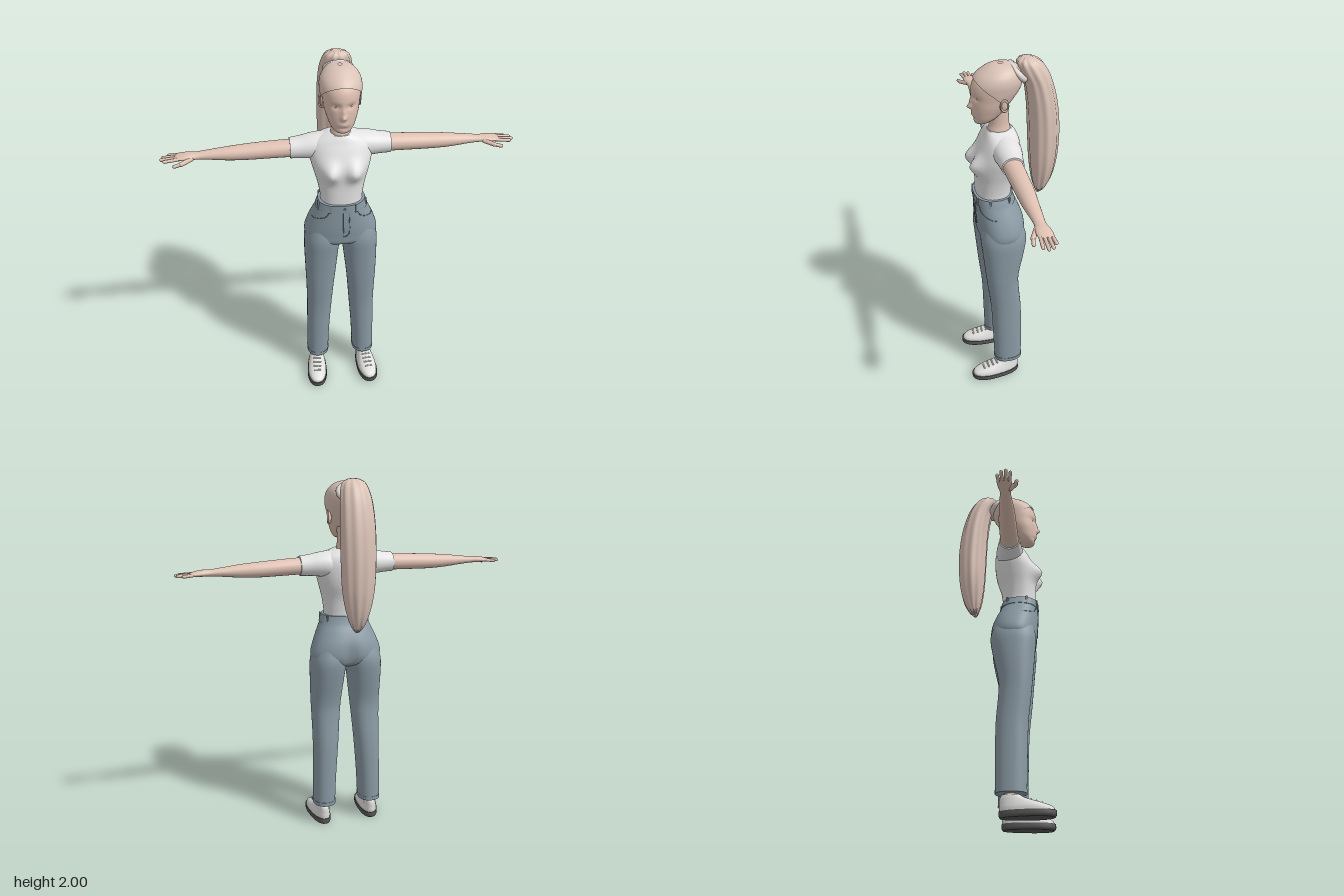
import * as THREE from 'three';

const paint = (name, color, side = THREE.FrontSide) => {
  const m = new THREE.MeshStandardMaterial({ color, side });
  m.name = name;
  return m;
};
const { sin, cos, abs, sign, exp, PI } = Math;
const bump = (d, width) => exp(-((d / width) ** 2));
const spow = (v, e) => sign(v) * abs(v) ** e;

// Smooth interpolation between cross-section rows [along, a0, a1, b0, b1]
function sample(keys, u) {
  const n = keys.length - 1, i = Math.min(Math.floor(u), n - 1), f = u - i;
  const row = k => keys[Math.max(0, Math.min(n, k))];
  return keys[0].map((_, c) => {
    const [p, q, r, s] = [row(i - 1)[c], row(i)[c], row(i + 1)[c], row(i + 2)[c]];
    return q + 0.5 * f * (r - p + f * (2 * p - 5 * q + 4 * r - s + f * (3 * (q - r) + s - p)));
  });
}

// Point on a body; along y: a = x, b = z; along x: a = z, b = y
function pointOn(keys, u, t, e = 1, axis = 'y') {
  const [v, a0, a1, b0, b1] = sample(keys, u);
  const a = (a0 + a1) / 2 + (a1 - a0) / 2 * spow(cos(t), e);
  const b = (b0 + b1) / 2 + (b1 - b0) / 2 * spow(sin(t), e);
  return axis === 'y' ? new THREE.Vector3(a, v, b) : new THREE.Vector3(v, b, a);
}

// Skin the cross-sections, with flat end caps
function loft(keys, { axis = 'y', seg = 32, sub = 4, e = 1, warp, start = () => 0, caps = true } = {}) {
  const rows = (keys.length - 1) * sub, pos = [], idx = [];
  for (let i = 0; i <= rows; i++) for (let j = 0; j < seg; j++) {
    const t = j / seg * 2 * PI, s = start(t);
    const p = pointOn(keys, s + (keys.length - 1 - s) * i / rows, t, e, axis);
    if (warp) warp(p, t);
    pos.push(p.x, p.y, p.z);
  }
  for (let i = 0; i < rows; i++) for (let j = 0; j < seg; j++) {
    const a = i * seg + j, b = i * seg + (j + 1) % seg, c = a + seg, d = b + seg;
    idx.push(a, c, b, b, c, d);
  }
  if (caps) for (const i of [0, rows]) {
    const base = pos.length / 3, mid = [0, 0, 0];
    for (let j = 0; j < seg; j++) for (let k = 0; k < 3; k++) {
      const v = pos[(i * seg + j) * 3 + k];
      pos.push(v);
      mid[k] += v / seg;
    }
    pos.push(...mid);
    for (let j = 0; j < seg; j++) {
      const a = base + j, b = base + (j + 1) % seg;
      idx.push(base + seg, ...(i ? [b, a] : [a, b]));
    }
  }
  const g = new THREE.BufferGeometry();
  g.setAttribute('position', new THREE.Float32BufferAttribute(pos, 3));
  g.setIndex(idx);
  g.computeVertexNormals();
  return g;
}
const wide = rows => rows.map(([y, w, b0, b1]) => [y, -w, w, b0, b1]);

export function createModel() {
  const skin = paint('skin', 0xdfc1b2), hair = paint('hair', 0xdac2b6, THREE.DoubleSide);
  const shirt = paint('shirt', 0xe3e3e3), denim = paint('denim', 0x8a9aa4);
  const seamDenim = paint('seam denim', 0x6f7e88), shoeWhite = paint('shoe white', 0xdfdfdd);
  const soleDark = paint('sole dark', 0x585656), tie = paint('hair tie', 0xdcd3ce);
  const model = new THREE.Group();
  const add = (parent, name, geo, mat, p = [0, 0, 0], s = [1, 1, 1]) => {
    const m = new THREE.Mesh(geo, mat);
    m.name = name;
    m.position.set(...p);
    m.scale.set(...s);
    parent.add(m);
    return m;
  };
  const rod = (parent, name, a, b, r, mat) => {
    const A = new THREE.Vector3(...a), d = new THREE.Vector3(...b).sub(A);
    const m = add(parent, name, new THREE.CapsuleGeometry(r, d.length(), 5, 10), mat);
    m.position.copy(A).addScaledVector(d, 0.5);
    m.quaternion.setFromUnitVectors(new THREE.Vector3(0, 1, 0), d.normalize());
  };
  const ball = new THREE.SphereGeometry(1, 20, 14);

  // Head, with the face pushed out and in from the front
  const headKeys = wide([[1.665, .02, .13, .165], [1.675, .04, .1, .178], [1.7, .06, .06, .185],
    [1.735, .074, .025, .19], [1.77, .085, 0, .19], [1.81, .092, -.03, .19], [1.85, .098, -.055, .192],
    [1.89, .1, -.065, .183], [1.925, .09, -.06, .158], [1.955, .065, -.04, .115],
    [1.97, .035, -.01, .08], [1.975, .003, .035, .045]]);
  const face = (p, t) => {
    if (sin(t) < 0.3) return;
    const x = abs(p.x), y = p.y;
    p.z += .022 * bump(x, .013) * bump(y - 1.762, .014) + .012 * bump(x, .011) * bump(y - 1.79, .026)
      - .011 * bump(x - .036, .02) * bump(y - 1.817, .014) + .006 * bump(x, .022) * bump(y - 1.722, .012)
      - .005 * bump(x, .03) * bump(y - 1.7, .008);
  };
  add(model, 'head', loft(headKeys, { seg: 64, sub: 6, warp: face }), skin);
  add(model, 'neck', loft(wide([[1.56, .06, -.01, .115], [1.62, .052, -.008, .11], [1.66, .046, -.002, .1],
    [1.74, .048, 0, .1]])), skin);

  // Hair cap from the hairline up, the ponytail and its tie
  const hairKeys = headKeys.map(([y, a, b, c, d]) => [y + .005, a - .007, b + .007, c - .007, d + .007]);
  const hairline = t => sin(t) < -.1 ? 4 + (sin(t) + 1) / .9 : 5 + (sin(t) + .1) / 1.1 * 2.5;
  add(model, 'hairCap', loft(hairKeys, { seg: 64, sub: 3, start: hairline, caps: false }), hair);
  const strands = (p, t) => {
    p.x += .003 * cos(10 * t) * cos(t);
    p.z += .003 * cos(10 * t) * sin(t);
  };
  add(model, 'ponytail', loft(wide([[1.195, .006, -.17, -.16], [1.225, .03, -.2, -.148], [1.28, .053, -.23, -.132],
    [1.36, .075, -.252, -.12], [1.46, .089, -.265, -.112], [1.6, .094, -.268, -.106], [1.75, .094, -.252, -.098],
    [1.87, .087, -.222, -.08], [1.94, .076, -.19, -.05], [1.98, .058, -.155, -.045], [1.998, .025, -.115, -.07]]),
  { seg: 60, warp: strands }), hair);
  add(model, 'hairTie', new THREE.TorusGeometry(.05, .017, 12, 32), tie, [0, 1.925, -.045], [1.2, 1, 1]).rotation.x = .71;

  // Shirt body
  const bust = (p, t) => {
    if (sin(t) > 0) p.z += .05 * sin(t) * bump(abs(p.x) - .068, .045) * bump(p.y - 1.442, .048);
  };
  add(model, 'shirtBody', loft(wide([[1.235, .112, -.005, .183], [1.28, .114, -.008, .183], [1.35, .126, -.018, .183],
    [1.42, .145, -.04, .185], [1.48, .16, -.05, .178], [1.54, .165, -.053, .155], [1.58, .15, -.045, .135],
    [1.605, .11, -.03, .123], [1.622, .062, -.012, .113]]), { seg: 56, sub: 5, e: .88, warp: bust }), shirt);

  // Jeans seat, waistband and front details
  const hipKeys = wide([[.955, .06, 0, .1], [.975, .15, -.045, .15], [1, .19, -.065, .178], [1.04, .2, -.075, .184],
    [1.1, .183, -.068, .19], [1.16, .158, -.045, .192], [1.205, .138, -.022, .192], [1.25, .122, -.01, .192]]);
  const cleft = (p, t) => {
    if (sin(t) < 0) p.z += .02 * bump(p.x, .028) * bump(p.y - 1.02, .07);
  };
  add(model, 'jeansSeat', loft(hipKeys, { seg: 56, e: .85, warp: cleft }), denim);
  const bandKeys = wide([[1.208, .141, -.026, .196], [1.23, .134, -.019, .196], [1.252, .126, -.014, .196]]);
  add(model, 'waistband', loft(bandKeys, { seg: 56, e: .85 }), denim);
  for (const t of [.35, 1.1, PI - 1.1, PI - .35, PI + .6, PI * 1.5, -.6]) {
    const p = pointOn(bandKeys, 1, t, .85);
    add(model, 'beltLoop', new THREE.BoxGeometry(.012, .048, .008), denim, p.toArray()).rotation.y = PI / 2 - t;
  }
  const seam = (name, uv) => add(model, name, new THREE.TubeGeometry(new THREE.CatmullRomCurve3(
    uv.map(([u, t]) => pointOn(hipKeys, u, t, .85))), 20, .0022, 6), seamDenim);
  seam('flyStitch', [[6, 1.4], [5, 1.42], [4, 1.43], [3.4, 1.47], [3.1, 1.57]]);
  seam('flySeam', [[6, PI / 2], [4.5, PI / 2], [3.1, PI / 2]]);
  for (const f of [t => t, t => PI - t])
    seam('pocketEdge', [[6, 1.05], [5.4, .98], [5, .75], [4.8, .45], [4.75, .2]].map(([u, t]) => [u, f(t)]));
  add(model, 'button', new THREE.CylinderGeometry(.008, .008, .006, 16), seamDenim, [.008, 1.23, .197]).rotation.x = PI / 2;

  // One side of the body, mirrored for the other
  const half = new THREE.Group();
  half.name = 'leftSide';
  add(half, 'ear', ball, skin, [.091, 1.788, .045], [.011, .036, .022]).rotation.y = -.3;
  add(half, 'earRim', new THREE.TorusGeometry(.022, .005, 8, 20), skin, [.1, 1.793, .044], [.85, 1.35, 1]).rotation.y = PI / 2 - .3;
  add(half, 'eyelid', ball, skin, [.036, 1.815, .165], [.016, .007, .008]).rotation.y = .3;
  add(half, 'sleeve', loft([[.05, -.03, .11, 1.46, 1.618], [.11, -.04, .115, 1.468, 1.612], [.16, -.035, .11, 1.475, 1.605],
    [.21, -.025, .104, 1.48, 1.595], [.262, -.017, .1, 1.482, 1.589]], { axis: 'x' }), shirt);
  add(half, 'arm', loft([[.24, -.01, .094, 1.49, 1.581], [.35, -.01, .09, 1.488, 1.576], [.48, -.008, .085, 1.486, 1.568],
    [.58, 0, .08, 1.49, 1.56], [.68, .008, .07, 1.5, 1.548], [.74, .012, .068, 1.505, 1.541],
    [.785, .003, .077, 1.506, 1.54], [.825, 0, .075, 1.508, 1.533], [.845, .006, .068, 1.511, 1.527]],
  { axis: 'x' }), skin);
  [[.064, .9, .072], [.046, .916, .05], [.028, .908, .027], [.011, .88, .006]].forEach(([z, x, z2]) =>
    rod(half, 'finger', [.82, 1.52, z], [x, 1.515, z2], .0088, skin));
  rod(half, 'thumb', [.765, 1.518, .066], [.815, 1.507, .094], .012, skin);
  rod(half, 'thumbTip', [.815, 1.507, .094], [.85, 1.5, .1], .0095, skin);
  add(half, 'trouserLeg', loft([[.125, .075, .2, -.04, .12], [.3, .067, .198, -.042, .125], [.5, .052, .195, -.04, .132],
    [.65, .04, .197, -.028, .148], [.75, .03, .2, -.027, .158], [.9, .013, .203, -.058, .172],
    [1, .002, .2, -.071, .18], [1.08, .02, .175, -.05, .165]], { e: .88, seg: 40 }), denim);
  add(half, 'trouserHem', loft([[.124, .073, .202, -.042, .122], [.146, .072, .202, -.042, .122]],
    { e: .88, seg: 40, sub: 1 }), denim);
  add(half, 'ankle', new THREE.CylinderGeometry(.036, .031, .12, 20), skin, [.138, .13, .038]);

  // Shoe: narrow heel, toes turned slightly out
  const shoe = new THREE.Group();
  shoe.name = 'shoe';
  shoe.position.x = .143;
  shoe.rotation.y = .07;
  half.add(shoe);
  const taper = p => { p.x *= .86 + .14 * Math.min(1, Math.max(0, p.z / .16)); };
  add(shoe, 'sole', loft(wide([[0, .054, -.016, .256], [.012, .06, -.022, .266], [.034, .059, -.022, .266]]),
    { e: .8, warp: taper }), soleDark);
  const upper = wide([[.03, .056, -.018, .26], [.05, .055, -.02, .253], [.066, .05, -.02, .222], [.084, .043, -.02, .166],
    [.1, .038, -.017, .115], [.116, .034, -.008, .088]]);
  add(shoe, 'shoeUpper', loft(upper, { e: .85, warp: taper }), shoeWhite);
  for (const [z, y, w] of [[.195, .077, .018], [.168, .086, .02], [.142, .094, .021], [.116, .102, .021]])
    rod(shoe, 'lace', [-w, y - .004, z], [w, y - .004, z], .0045, shoeWhite);

  const other = half.clone();
  other.name = 'rightSide';
  other.scale.x = -1;
  model.add(half, other);
  return model;
}
